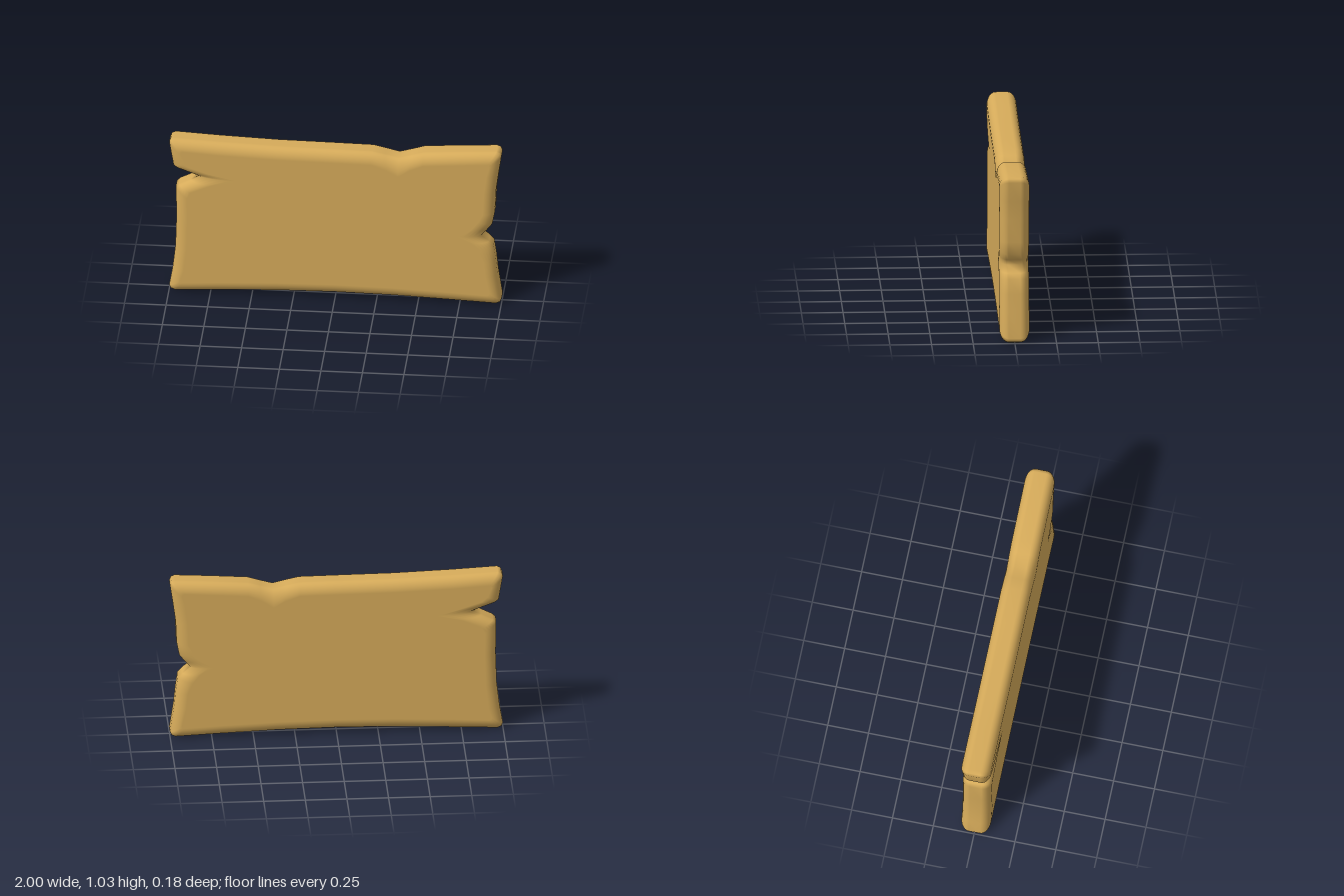
import * as THREE from 'three';

const HALF = 0.09;   // half thickness
const SIDE = 0.035;  // half height of the straight rim
const INSET = 0.07;  // width of the rounded edge

// Small rounded corner; each entry is [rim x, rim y, face x, face y]
function corner(x, y, sx, sy, start) {
  return [0, 1, 2].map((i) => {
    const a = start + (i * Math.PI) / 4;
    const c = Math.cos(a), s = Math.sin(a);
    return [
      x - sx * 0.03 + c * 0.03, y - sy * 0.03 + s * 0.03,
      x - sx * 0.085 + c * 0.015, y - sy * 0.085 + s * 0.015,
    ];
  });
}

// A run of edge points, inset in one direction
const edge = (dx, dy, points) => points.map(([x, y]) => [x, y, x + dx * INSET, y + dy * INSET]);

// Counter-clockwise outline with worn notches reaching into the faces
function boardOutline() {
  return [
    ...corner(-1, 0.003, -1, -1, Math.PI),
    ...edge(0, 1, [[-0.7, 0.015], [-0.35, 0.029], [0, 0.034], [0.35, 0.029], [0.7, 0.015]]),
    ...corner(1, 0.003, 1, -1, -Math.PI / 2),
    ...edge(-1, 0, [[0.975, 0.2], [0.965, 0.3]]),
    // right notch
    [0.952, 0.39, 0.865, 0.37],
    [0.925, 0.42, 0.82, 0.425],
    [0.88, 0.46, 0.74, 0.467],
    [0.915, 0.5, 0.82, 0.515],
    [0.945, 0.54, 0.865, 0.57],
    ...edge(-1, 0, [[0.96, 0.62], [0.966, 0.76], [0.982, 0.88]]),
    ...corner(1, 1.031, 1, 1, 0),
    ...edge(0, -1, [[0.75, 1.019], [0.53, 1.004]]),
    // top notch
    [0.46, 0.983, 0.45, 0.9],
    [0.38, 0.961, 0.38, 0.855],
    [0.3, 0.98, 0.31, 0.895],
    ...edge(0, -1, [[0.22, 0.997], [0, 1], [-0.35, 1.004], [-0.7, 1.017]]),
    ...corner(-1, 1.031, -1, 1, Math.PI / 2),
    // left split
    [-0.975, 0.85, -0.905, 0.885],
    [-0.955, 0.835, -0.87, 0.855],
    [-0.875, 0.805, -0.75, 0.815],
    [-0.82, 0.781, -0.58, 0.776],
    [-0.87, 0.753, -0.75, 0.737],
    [-0.94, 0.718, -0.87, 0.685],
    [-0.96, 0.702, -0.89, 0.645],
    ...edge(1, 0, [[-0.957, 0.5], [-0.963, 0.3], [-0.98, 0.15]]),
  ];
}

// Loft of rounded rings from the back face to the front face
function boardGeometry() {
  const outline = boardOutline();
  const n = outline.length;
  const steps = 7;
  const rings = [];
  for (let i = 0; i <= steps; i++) rings.push([-1, Math.PI / 2 * (1 - i / steps)]);
  for (let i = 0; i <= steps; i++) rings.push([1, Math.PI / 2 * (i / steps)]);

  const positions = [];
  for (const [sign, a] of rings) {
    const out = Math.cos(a);
    const z = sign * (SIDE + (HALF - SIDE) * Math.sin(a));
    for (const [x, y, fx, fy] of outline) {
      positions.push(fx + (x - fx) * out, fy + (y - fy) * out, z);
    }
  }

  const index = [];
  for (let r = 0; r < rings.length - 1; r++) {
    for (let j = 0; j < n; j++) {
      const a = r * n + j, b = r * n + (j + 1) % n;
      index.push(a, b, b + n, a, b + n, a + n);
    }
  }

  // Flat front and back faces
  const face = outline.map((p) => new THREE.Vector2(p[2], p[3]));
  const front = (rings.length - 1) * n;
  for (const [a, b, c] of THREE.ShapeUtils.triangulateShape(face, [])) {
    index.push(front + a, front + b, front + c, a, c, b);
  }

  const geometry = new THREE.BufferGeometry();
  geometry.setAttribute('position', new THREE.Float32BufferAttribute(positions, 3));
  geometry.setIndex(index);
  geometry.computeVertexNormals();

  // Keep the shading of both faces level up to the rounded edge
  const normal = geometry.attributes.normal;
  for (let j = 0; j < n; j++) {
    normal.setXYZ(j, 0, 0, -1);
    normal.setXYZ(front + j, 0, 0, 1);
  }
  return geometry;
}

export function createModel() {
  const wood = new THREE.MeshStandardMaterial({ color: 0xd6ab5a });
  wood.name = 'warm wood';
  const board = new THREE.Mesh(boardGeometry(), wood);
  board.name = 'board';
  const model = new THREE.Group();
  model.name = 'wornPlank';
  model.add(board);
  return model;
}
